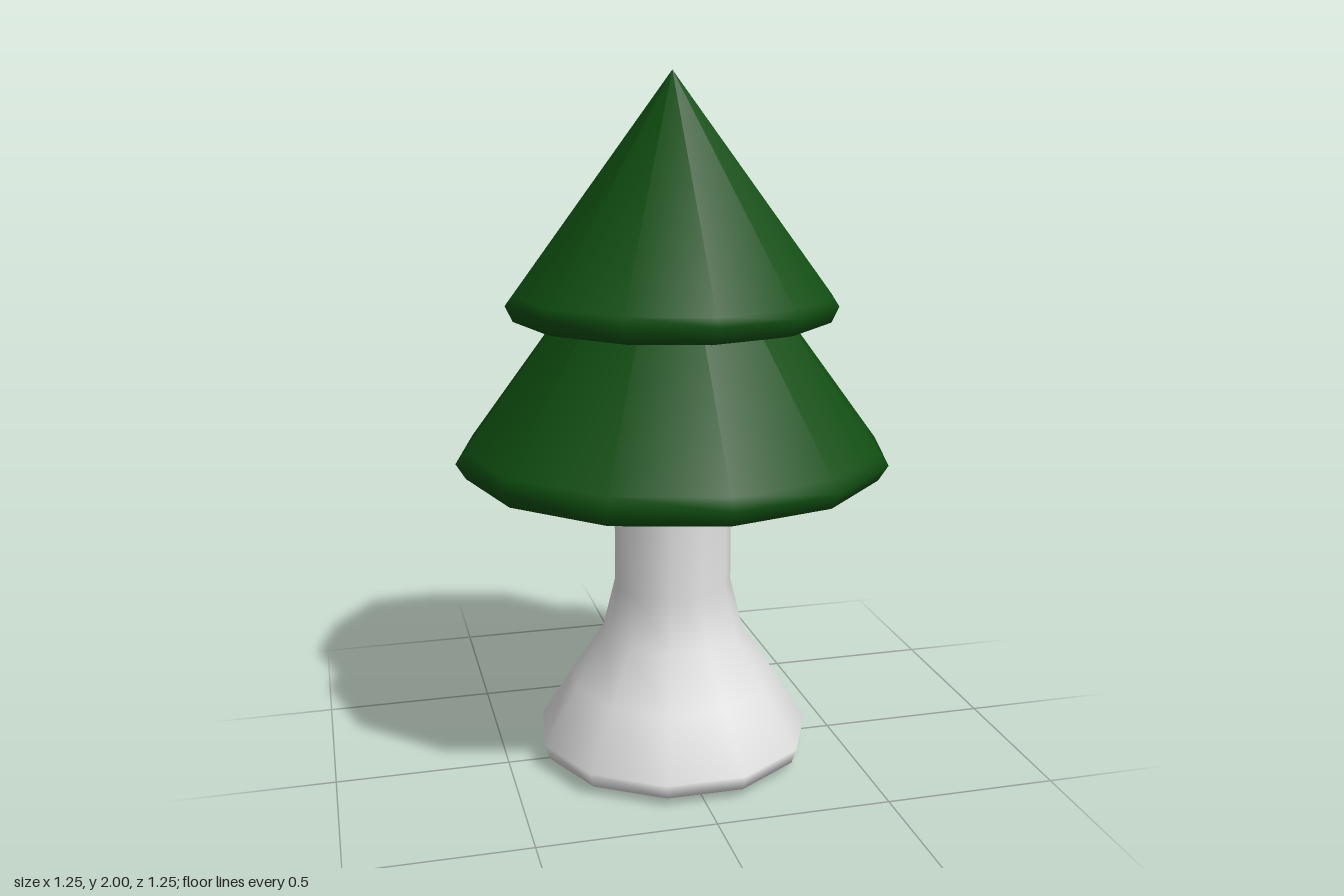
import * as THREE from 'three';

const leafGreen = new THREE.MeshStandardMaterial({ name: 'leafGreen', color: 0x0f4d10 });
const paleBark = new THREE.MeshStandardMaterial({ name: 'paleBark', color: 0xe0e0e0 });

// Turned solid from [radius, height] pairs, listed bottom to top
function turned(name, profile, sides, start, material) {
  const points = profile.map(([r, y]) => new THREE.Vector2(r, y));
  const mesh = new THREE.Mesh(new THREE.LatheGeometry(points, sides, start), material);
  mesh.name = name;
  return mesh;
}

// Cone of foliage with a bevelled lower rim
function foliage(name, rim, rimY, tipY) {
  return turned(name, [
    [0, rimY - 0.055],
    [rim * 0.87, rimY - 0.055],
    [rim * 0.955, rimY - 0.045],
    [rim, rimY],
    [rim * 0.96, rimY + (tipY - rimY) * 0.04],
    [0, tipY],
  ], 12, 0, leafGreen);
}

export function createModel() {
  const tree = new THREE.Group();
  tree.name = 'tree';

  // Flared trunk, eleven-sided
  tree.add(turned('trunk', [
    [0, 0.005], [0.33, 0.005], [0.39, 0.03], [0.405, 0.075], [0.305, 0.235],
    [0.21, 0.38], [0.173, 0.53], [0.173, 0.9],
  ], 11, Math.PI, paleBark));

  // Two tiers of foliage
  tree.add(foliage('lowerFoliage', 0.625, 0.93, 1.77));
  tree.add(foliage('upperFoliage', 0.475, 1.37, 2));
  return tree;
}
